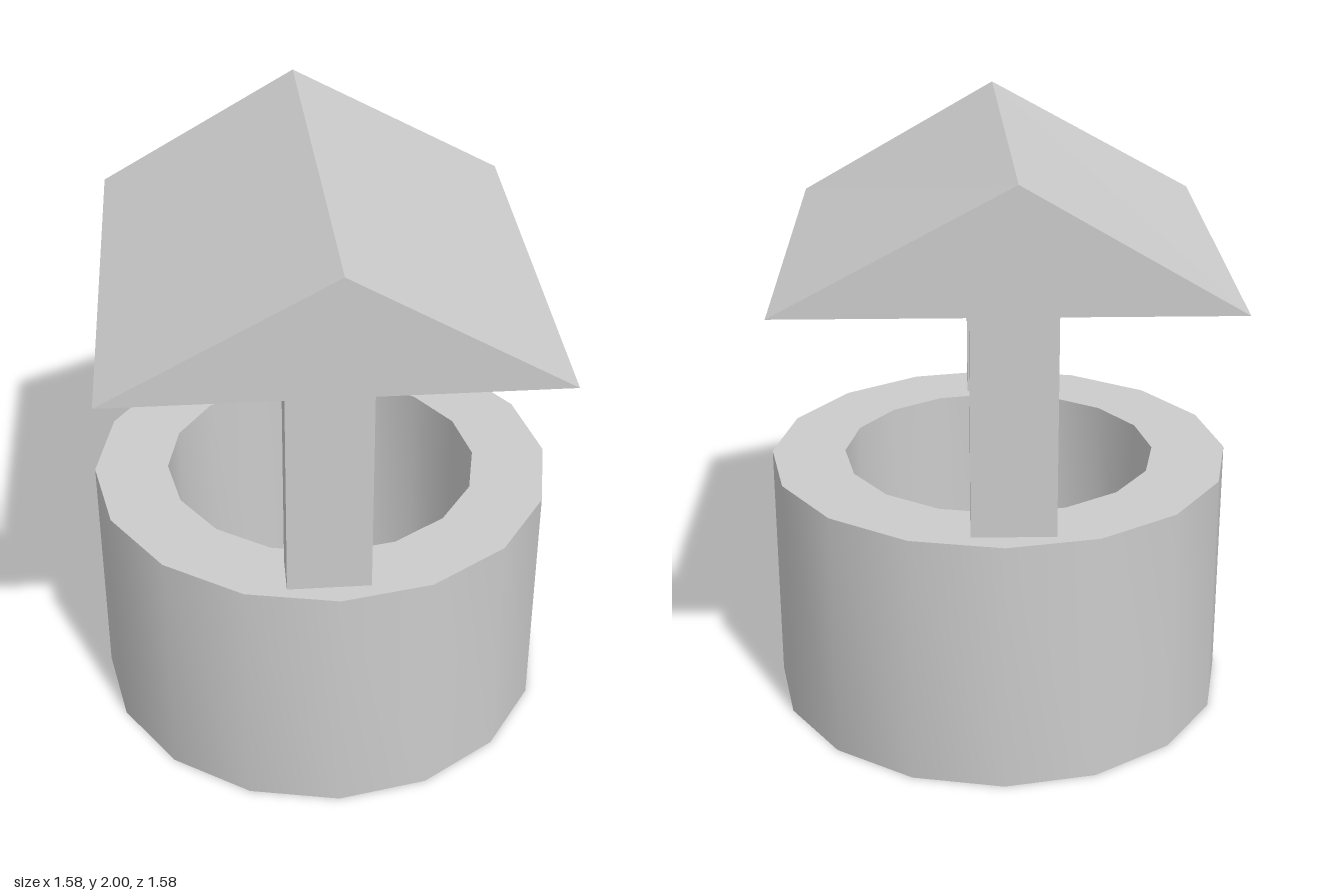
import * as THREE from 'three';
import { toCreasedNormals } from 'three/addons/utils/BufferGeometryUtils.js';

export function createModel() {
  const group = new THREE.Group();
  const material = new THREE.MeshStandardMaterial({ color: 0xcccccc });

  const add = (name, geometry, x = 0, y = 0, z = 0) => {
    const mesh = new THREE.Mesh(geometry, material);
    mesh.name = name;
    mesh.position.set(x, y, z);
    group.add(mesh);
  };

  // Well wall: a 16-sided ring, open right through
  const wallTop = 0.862, outer = 0.788, inner = 0.535;
  const profile = [[inner, 0], [outer, 0], [outer, wallTop], [inner, wallTop], [inner, 0]]
    .map(([r, y]) => new THREE.Vector2(r, y));
  add('wall', toCreasedNormals(new THREE.LatheGeometry(profile, 16), Math.PI / 6));

  // Two posts standing on the rim
  const eaves = 1.602;
  const post = new THREE.BoxGeometry(0.27, eaves - wallTop, 0.149);
  const postY = (eaves + wallTop) / 2;
  add('frontPost', post, -0.03, postY, 0.641);
  add('backPost', post, -0.03, postY, -0.636);

  // Gabled roof with a flat underside; its ridge drifts slightly to one side at the back
  const gable = new THREE.Shape([
    new THREE.Vector2(-0.723, eaves),
    new THREE.Vector2(0.702, eaves),
    new THREE.Vector2(0.006, 2),
  ]);
  const roof = new THREE.ExtrudeGeometry(gable, { depth: 1.535, bevelEnabled: false });
  roof.translate(0, 0, -0.77);
  const p = roof.attributes.position;
  for (let i = 0; i < p.count; i++) {
    if (p.getY(i) > 1.9 && p.getZ(i) < 0) p.setX(i, -0.038);
  }
  roof.computeVertexNormals();
  add('roof', roof);

  return group;
}
